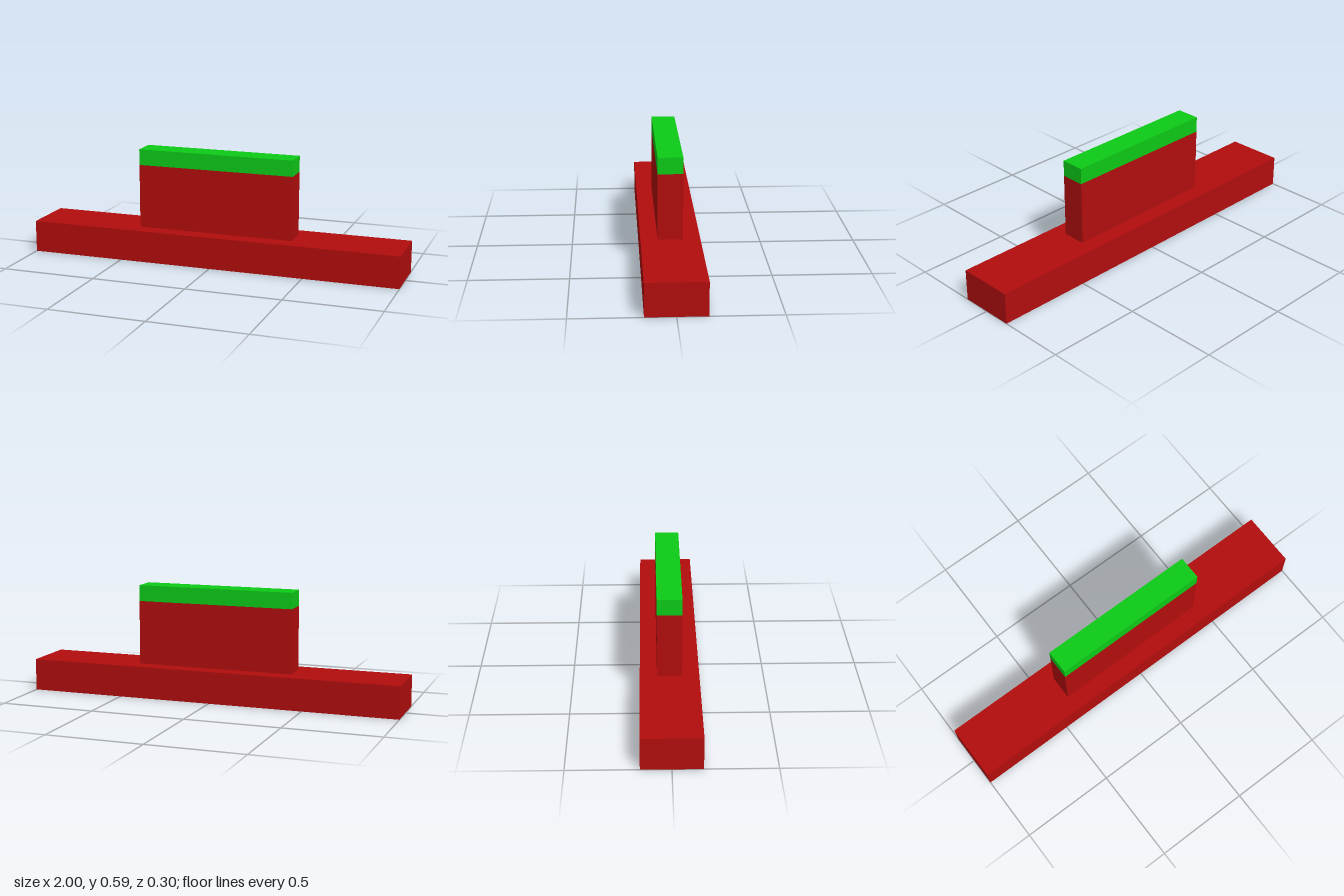
import * as THREE from 'three';

const red = new THREE.MeshStandardMaterial({ color: 0xb30d0d });
const green = new THREE.MeshStandardMaterial({ color: 0x0dcb17 });

// Box standing on height y
function block(name, w, h, d, y, material) {
  const mesh = new THREE.Mesh(new THREE.BoxGeometry(w, h, d), material);
  mesh.position.y = y + h / 2;
  mesh.name = name;
  return mesh;
}

// Corner points of a centred rectangle
function rectangle(w, d) {
  return [[-1, -1], [1, -1], [1, 1], [-1, 1]].map(
    ([x, z]) => new THREE.Vector2(x * w / 2, z * d / 2));
}

export function createModel() {
  const model = new THREE.Group();
  const length = 2, depth = 0.298, baseHeight = 0.168, recess = 0.126;

  // Base: a rim around the recess underneath, closed by a slab
  const base = new THREE.Group();
  base.name = 'base';
  const outline = new THREE.Shape(rectangle(length, depth));
  outline.holes.push(new THREE.Path(rectangle(0.84, 0.192)));
  const rimGeometry = new THREE.ExtrudeGeometry(outline, { depth: recess, bevelEnabled: false });
  rimGeometry.rotateX(-Math.PI / 2);
  const rim = new THREE.Mesh(rimGeometry, red);
  rim.name = 'baseRim';
  base.add(rim, block('baseSlab', length, baseHeight - recess, depth, recess, red));

  // Upright block with a coloured cap
  model.add(
    base,
    block('upright', 0.84, 0.337, 0.126, baseHeight, red),
    block('cap', 0.84, 0.084, 0.126, baseHeight + 0.337, green));
  return model;
}
